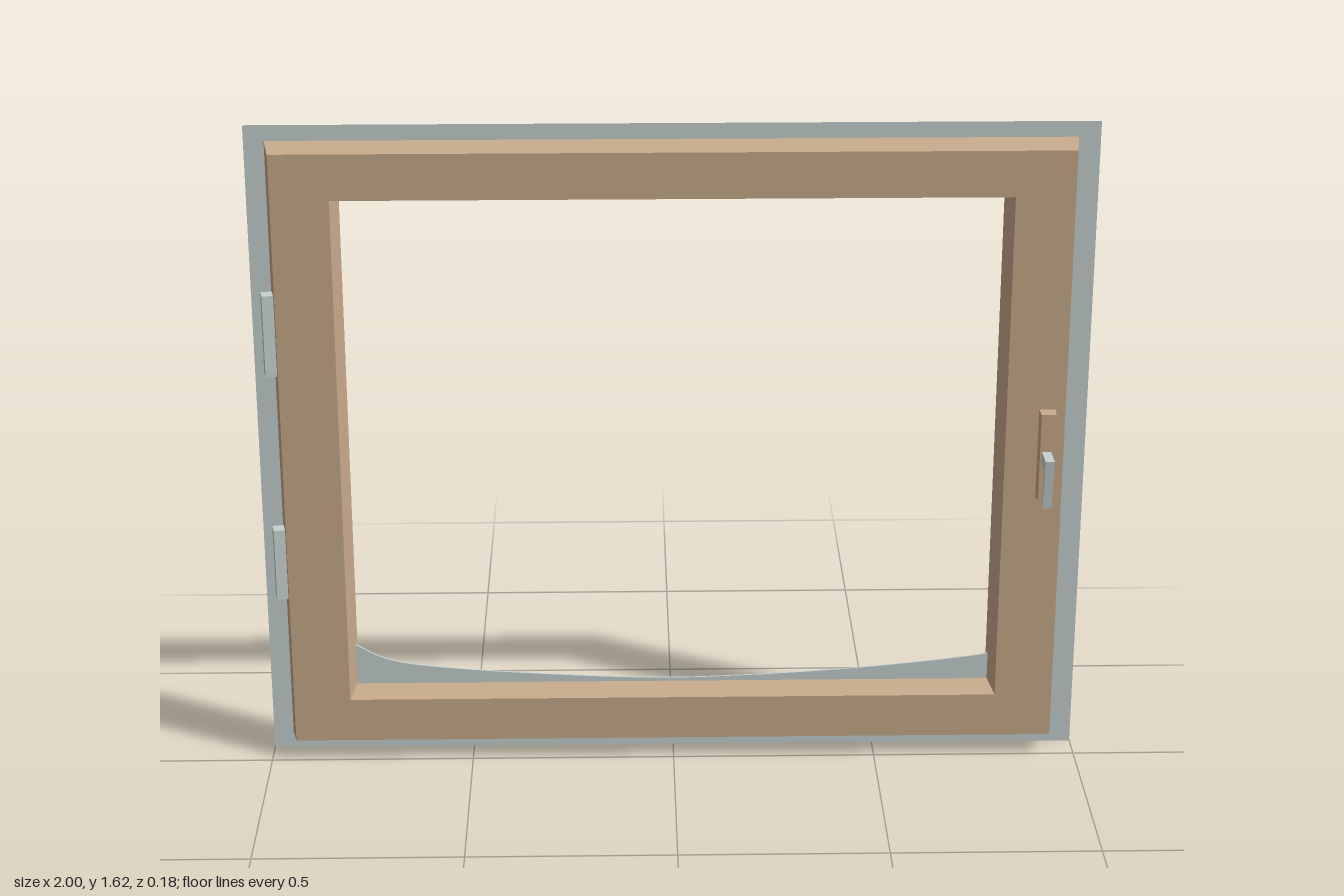
import * as THREE from 'three';

const rect = (x0, x1, y0, y1, z) => ({ x0, x1, y0, y1, z });

// Four flat walls joining two rectangles that lie at different depths
function walls(a, b) {
  const corners = r => [[r.x0, r.y0, r.z], [r.x1, r.y0, r.z], [r.x1, r.y1, r.z], [r.x0, r.y1, r.z]];
  const ca = corners(a), cb = corners(b), pos = [];
  for (let i = 0; i < 4; i++) {
    const j = (i + 1) % 4;
    for (const p of [ca[i], ca[j], cb[j], ca[i], cb[j], cb[i]]) pos.push(...p);
  }
  const g = new THREE.BufferGeometry();
  g.setAttribute('position', new THREE.Float32BufferAttribute(pos, 3));
  g.computeVertexNormals();
  return g;
}

// Flat rectangular face with rectangular holes
function face(r, ...holes) {
  const outline = (P, q) => new P([[q.x0, q.y0], [q.x1, q.y0], [q.x1, q.y1], [q.x0, q.y1]]
    .map(p => new THREE.Vector2(...p)));
  const s = outline(THREE.Shape, r);
  for (const h of holes) s.holes.push(outline(THREE.Path, h));
  return new THREE.ShapeGeometry(s).translate(0, 0, r.z);
}

export function createModel() {
  const model = new THREE.Group();
  model.name = 'window';
  const wood = new THREE.MeshStandardMaterial({ color: 0xc8aa8b, side: THREE.DoubleSide });
  wood.name = 'tan frame';
  const metal = new THREE.MeshStandardMaterial({ color: 0xc5d1cf, side: THREE.DoubleSide });
  metal.name = 'pale grey';
  const add = (name, geometry, material, parent = model) => {
    const m = new THREE.Mesh(geometry, material);
    m.name = name;
    parent.add(m);
    return m;
  };

  // Key rectangles of the hollow frame
  const rim = rect(-1, 1, 0, 1.615, -0.07);
  const outerBack = rect(-0.952, 0.948, 0.042, 1.577, -0.07);
  const outerFront = rect(-0.938, 0.938, 0.054, 1.564, 0);
  const innerFront = rect(-0.8, 0.797, 0.165, 1.452, 0);
  const innerBack = rect(-0.785, 0.782, 0.178, 1.441, -0.09);
  const plateBack = rect(0.875, 0.915, 0.697, 0.922, 0);
  const plateFront = rect(0.877, 0.912, 0.699, 0.92, 0.032);

  // Frame shell, open at the back, with a pocket behind the handle plate
  const frame = new THREE.Group();
  frame.name = 'frame';
  model.add(frame);
  add('outerWalls', walls(outerBack, outerFront), wood, frame);
  add('frontFace', face(outerFront, innerFront, plateBack), wood, frame);
  add('innerWalls', walls(innerFront, innerBack), wood, frame);

  // Flat flange around the back edge
  add('flange', face(rim, outerBack), metal);

  // Handle with its hollow mounting plate
  const handle = new THREE.Group();
  handle.name = 'handle';
  model.add(handle);
  add('handlePlateSides', walls(plateBack, plateFront), wood, handle);
  add('handlePlateFace', face(plateFront), wood, handle);
  add('handleStem', new THREE.BoxGeometry(0.022, 0.03, 0.045).translate(0.893, 0.81, 0.053), metal, handle);
  const lever = new THREE.Shape([[0.094, 0.825], [0.07, 0.825], [0.066, 0.797], [0.073, 0.795], [0.076, 0.7],
    [0.083, 0.7], [0.087, 0.75]].map(p => new THREE.Vector2(...p)));
  const leverGeo = new THREE.ExtrudeGeometry(lever, { depth: 0.022, bevelEnabled: false });
  leverGeo.rotateY(-Math.PI / 2).translate(0.904, 0, 0);
  add('handleLever', leverGeo, metal, handle);

  // Two hinges poking through the side wall
  for (const [y0, y1] of [[0.43, 0.613], [1.01, 1.213]]) {
    const hinge = add('hinge', new THREE.BoxGeometry(0.034, y1 - y0, 0.034), metal);
    hinge.position.set(-0.956, (y0 + y1) / 2, -0.037);
    hinge.rotation.y = 0.2;
  }

  // Thin sagging sheet along the bottom of the opening
  const sheet = new THREE.Shape();
  sheet.moveTo(0.92, 0.165);
  sheet.lineTo(0.92, 0.3);
  sheet.lineTo(0.875, 0.3);
  sheet.splineThru([[0.83, 0.265], [0.78, 0.243], [0.6, 0.22], [0.4, 0.202], [0.2, 0.19], [0, 0.184],
    [-0.2, 0.19], [-0.5, 0.21], [-0.69, 0.235], [-0.785, 0.28], [-0.81, 0.3]].map(p => new THREE.Vector2(...p)));
  sheet.lineTo(-0.81, 0.165);
  add('sheet', new THREE.ExtrudeGeometry(sheet, { depth: 0.005, bevelEnabled: false, curveSegments: 4 })
    .translate(0, 0, -0.077), metal);

  return model;
}
